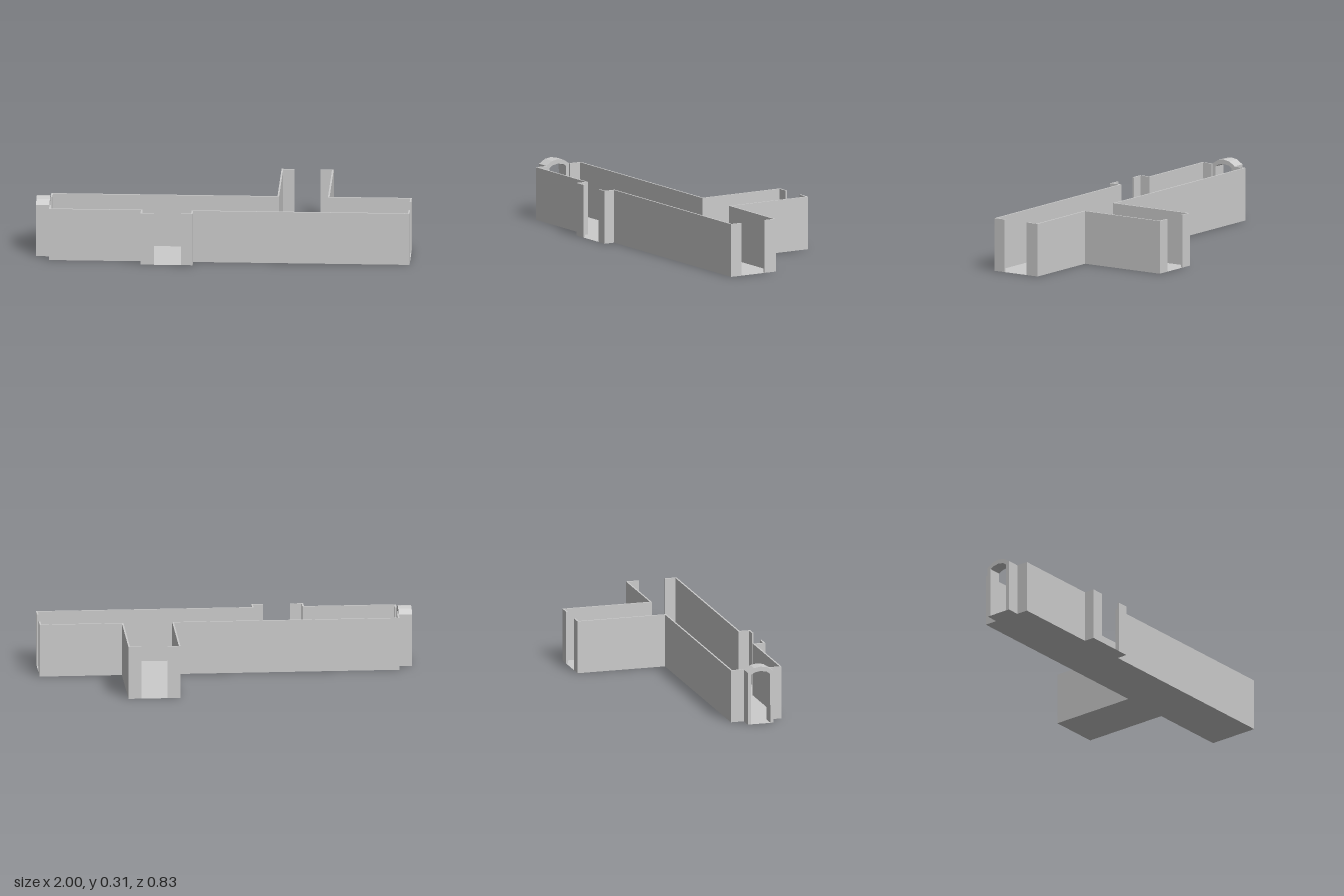
import * as THREE from 'three';

const HEIGHT = 0.286;
const THICK = 0.009;

// Outer wall lines as [x, z]; the gaps between runs are the doorways.
const RUNS = {
  frontRightWall: [[1, 0.29], [1, 0.356], [-0.157, 0.356], [-0.157, 0.415], [-0.22, 0.415]],
  frontLeftWall: [[-0.365, 0.415], [-0.436, 0.415], [-0.436, 0.356], [-0.928, 0.356], [-0.928, 0.29]],
  backLeftWall: [[-0.928, 0.145], [-0.928, 0.073], [0.281, 0.073], [0.281, -0.415], [0.35, -0.415]],
  backRightWall: [[0.49, -0.415], [0.56, -0.415], [0.56, 0.073], [1, 0.073], [1, 0.145]],
};

// Shape on the ground plane from [x, z] points
const planShape = (pts) => new THREE.Shape(pts.map(([x, z]) => new THREE.Vector2(x, -z)));

// Closed strip between a wall line and its mitred inward offset
function wallStrip(run) {
  const normals = run.slice(1).map(([x, z], i) => {
    const dx = x - run[i][0], dz = z - run[i][1], len = Math.hypot(dx, dz);
    return [-dz / len, dx / len];
  });
  const inner = run.map(([x, z], i) => {
    const before = normals[i - 1] ?? [0, 0], after = normals[i] ?? [0, 0];
    return [x + THICK * (before[0] + after[0]), z + THICK * (before[1] + after[1])];
  });
  return planShape([...run, ...inner.reverse()]);
}

export function createModel() {
  const group = new THREE.Group();
  group.name = 'corridor';
  const material = new THREE.MeshStandardMaterial({ color: 0xcccccc, side: THREE.DoubleSide });
  const add = (name, geometry) => {
    const mesh = new THREE.Mesh(geometry, material);
    mesh.name = name;
    group.add(mesh);
    return mesh;
  };

  // Walls with short returns beside each doorway
  for (const [name, run] of Object.entries(RUNS)) {
    const geometry = new THREE.ExtrudeGeometry(wallStrip(run), { depth: HEIGHT, bevelEnabled: false });
    add(name, geometry.rotateX(-Math.PI / 2));
  }

  // Thin floor following the outline, with a tab under the arch
  const r = RUNS;
  const outline = [
    ...r.frontRightWall, ...r.frontLeftWall,
    [-1, 0.29], [-1, 0.145],
    ...r.backLeftWall, ...r.backRightWall,
  ];
  add('floor', new THREE.ShapeGeometry(planShape(outline)).rotateX(-Math.PI / 2));

  // Arched passage at the left end, profile as [z, y]
  const arch = new THREE.Shape([
    [0.29, 0], [0.29, 0.286], [0.253, 0.309], [0.217, 0.315], [0.181, 0.309], [0.145, 0.286], [0.145, 0],
    [0.163, 0], [0.165, 0.274], [0.183, 0.285], [0.217, 0.291], [0.25, 0.285], [0.269, 0.272],
    [0.269, 0.1], [0.272, 0.1], [0.272, 0],
  ].map(([z, y]) => new THREE.Vector2(z, y)));
  const archGeometry = new THREE.ExtrudeGeometry(arch, { depth: 0.072, bevelEnabled: false });
  add('archedPassage', archGeometry.rotateY(-Math.PI / 2)).position.x = -0.928;

  return group;
}
